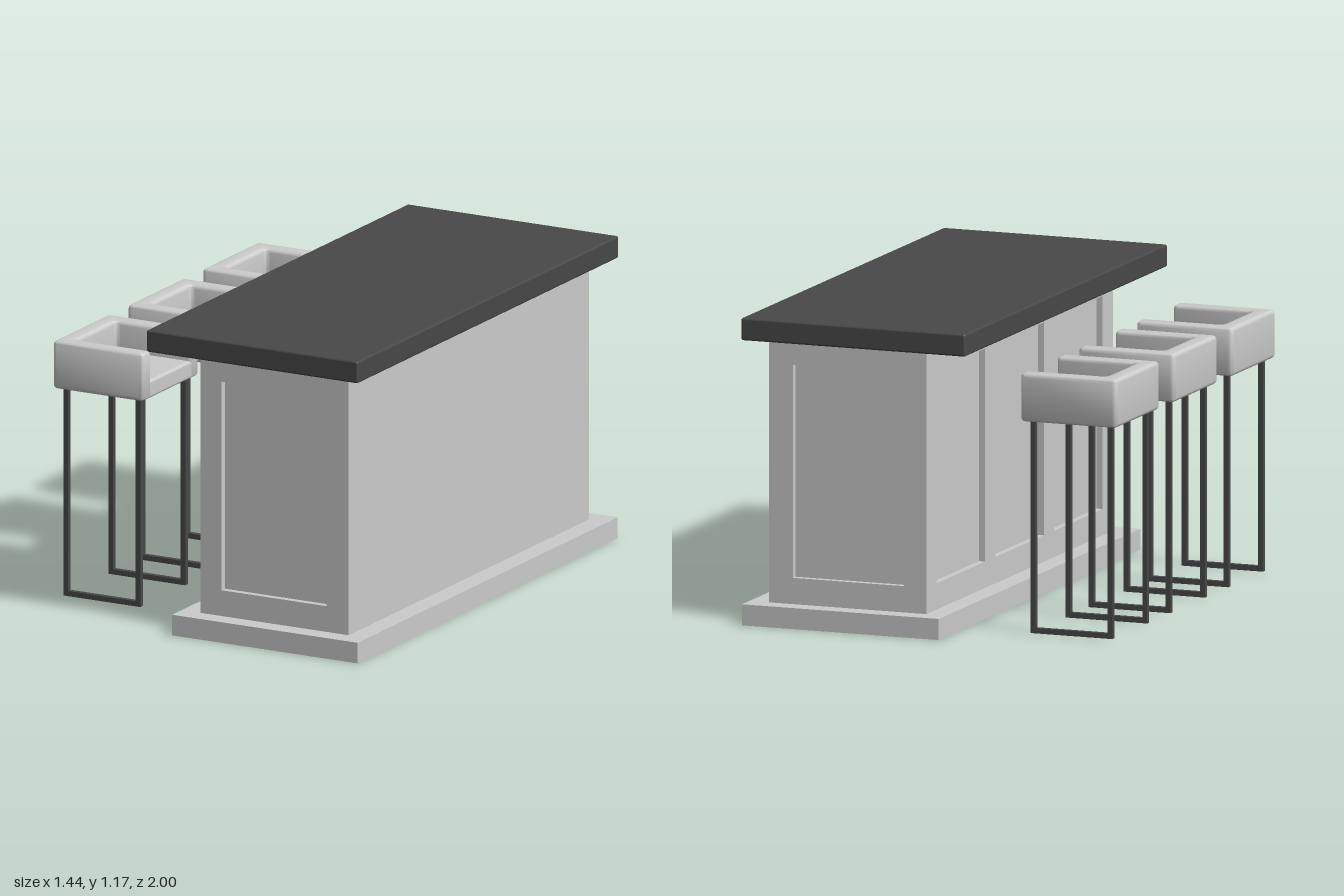
import * as THREE from 'three';
import { RoundedBoxGeometry } from 'three/addons/geometries/RoundedBoxGeometry.js';
import { toCreasedNormals } from 'three/addons/utils/BufferGeometryUtils.js';

const grey = new THREE.MeshStandardMaterial({ color: 0xcccccc });
const dark = new THREE.MeshStandardMaterial({ color: 0x484848 });

function add(parent, name, geometry, material, x = 0, y = 0, z = 0) {
  const mesh = new THREE.Mesh(geometry, material);
  mesh.name = name;
  mesh.position.set(x, y, z);
  parent.add(mesh);
  return mesh;
}

// Box given by its minimum and maximum corners
function addBox(parent, name, material, [x0, y0, z0], [x1, y1, z1], radius = 0) {
  const size = [x1 - x0, y1 - y0, z1 - z0];
  const geometry = radius ? new RoundedBoxGeometry(...size, 3, radius) : new THREE.BoxGeometry(...size);
  return add(parent, name, geometry, material, (x0 + x1) / 2, (y0 + y1) / 2, (z0 + z1) / 2);
}

const rectPoints = (x0, y0, x1, y1) =>
  [[x0, y0], [x1, y0], [x1, y1], [x0, y1]].map(([x, y]) => new THREE.Vector2(x, y));

// Flat frame with rectangular openings, centred on x, extruded towards +z
function panelFrame(left, right, bottom, top, openings, depth) {
  const shape = new THREE.Shape(rectPoints(left, bottom, right, top));
  for (const o of openings) shape.holes.push(new THREE.Path(rectPoints(...o).reverse()));
  return new THREE.ExtrudeGeometry(shape, { depth, bevelEnabled: false });
}

// Closed outline with softened corners
function softOutline(points, r) {
  const shape = new THREE.Shape();
  const v = points.map(([x, y]) => new THREE.Vector2(x, y));
  v.forEach((p, i) => {
    const toward = (q) => p.clone().add(q.clone().sub(p).setLength(r));
    const a = toward(v[(i + v.length - 1) % v.length]);
    const b = toward(v[(i + 1) % v.length]);
    if (i === 0) shape.moveTo(a.x, a.y);
    else shape.lineTo(a.x, a.y);
    shape.quadraticCurveTo(p.x, p.y, b.x, b.y);
  });
  shape.closePath();
  return shape;
}

function createIsland() {
  const island = new THREE.Group();
  island.name = 'island';
  const zMid = 0.005, half = 0.92, recess = 0.025;
  const y0 = 0.08, y1 = 1.085, open0 = 0.18, open1 = 0.99;

  addBox(island, 'plinth', grey, [-0.08, 0, -0.99], [0.715, y0, 1]);
  addBox(island, 'countertop', dark, [-0.19, y1, -1], [0.715, 1.17, 1], 0.008);
  addBox(island, 'cabinetCore', grey,
    [recess, y0, zMid - half + recess], [0.635, y1, zMid + half - recess]);

  // Framed panels on both ends
  const endWidth = 0.635, opening = [-0.2275, open0, 0.2225, open1];
  const endGeometry = (flip) => panelFrame(-endWidth / 2, endWidth / 2, y0, y1,
    [flip ? [-opening[2], open0, -opening[0], open1] : opening], recess);
  add(island, 'frontPanelFrame', endGeometry(false), grey, endWidth / 2, 0, zMid + half - recess);
  add(island, 'backPanelFrame', endGeometry(true), grey, endWidth / 2, 0, zMid - half + recess)
    .rotation.y = Math.PI;

  // Three framed panels on the seating side
  const openings = [-1, 0, 1].map((i) => [i * 0.58 - 0.24, open0, i * 0.58 + 0.24, open1]);
  const inner = half - recess;
  add(island, 'seatingSidePanelFrame', panelFrame(-inner, inner, y0, y1, openings, recess),
    grey, recess, 0, zMid).rotation.y = -Math.PI / 2;
  return island;
}

function createStool(z) {
  const stool = new THREE.Group();
  stool.name = 'stool';
  stool.position.z = z;

  // U-shaped back and arms, open towards the counter
  const bevel = 0.016, bottom = 0.815, top = 1.0;
  const outline = softOutline([
    [-0.72, -0.215], [-0.33, -0.215], [-0.33, -0.148], [-0.65, -0.148],
    [-0.65, 0.148], [-0.33, 0.148], [-0.33, 0.215], [-0.72, 0.215],
  ], 0.02);
  const shell = new THREE.ExtrudeGeometry(outline, {
    depth: top - bottom - 2 * bevel, curveSegments: 4,
    bevelThickness: bevel, bevelSize: bevel, bevelOffset: -bevel, bevelSegments: 4,
  });
  shell.rotateX(-Math.PI / 2);
  add(stool, 'backAndArms', toCreasedNormals(shell, 0.7), grey, 0, bottom + bevel, 0);
  addBox(stool, 'seat', grey, [-0.69, bottom, -0.19], [-0.332, 0.885, 0.19], 0.012);

  // Two square-tube leg loops
  const t = 0.02, x0 = -0.69, x1 = -0.36, yb = 0.008;
  for (const side of [-1, 1]) {
    const za = side * 0.172 - t / 2, zb = za + t;
    addBox(stool, 'outerLeg', dark, [x0, yb, za], [x0 + t, 0.82, zb]);
    addBox(stool, 'innerLeg', dark, [x1 - t, yb, za], [x1, 0.82, zb]);
    addBox(stool, 'footBar', dark, [x0 + t, yb, za], [x1 - t, yb + t, zb]);
  }
  return stool;
}

export function createModel() {
  const model = new THREE.Group();
  model.name = 'kitchenIslandWithStools';
  model.add(createIsland());
  for (const z of [-0.585, -0.013, 0.56]) model.add(createStool(z));
  return model;
}
